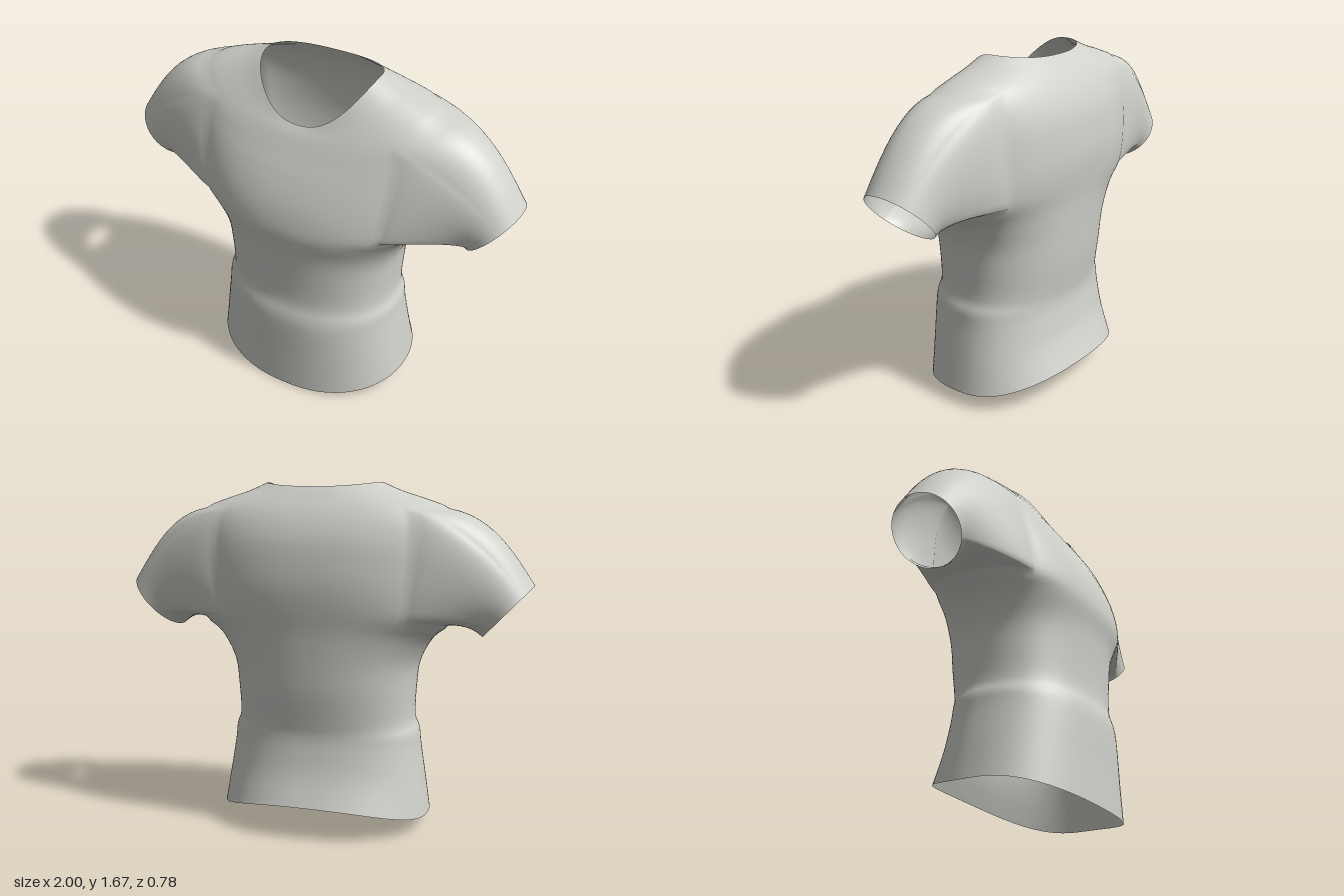
import * as THREE from 'three';

const COLS = 96; // columns around the torso, starting at the front centre
const SUB = 3; // rows between two profile levels
const HALF = 12; // half-width of each armhole, in columns
const HOLE = [8, 13]; // profile levels where the armholes start and end
const SLEEVE_STEPS = 12;

// torso levels, hem to neckline:
// y at front, side, back | half-width | z at front, side, back
const LEVELS = [
  [0.01, 0.08, 0.17, 0.52, 0.39, 0.0, -0.39],
  [0.2, 0.25, 0.3, 0.495, 0.385, 0.0, -0.335],
  [0.4, 0.41, 0.42, 0.47, 0.382, 0.0, -0.308],
  [0.48, 0.485, 0.49, 0.462, 0.372, 0.0, -0.3],
  [0.56, 0.55, 0.55, 0.44, 0.352, 0.0, -0.305],
  [0.72, 0.7, 0.7, 0.445, 0.355, 0.0, -0.325],
  [0.87, 0.83, 0.85, 0.463, 0.367, 0.0, -0.335],
  [0.97, 0.95, 0.99, 0.53, 0.388, -0.01, -0.345],
  [1.04, 1.02, 1.1, 0.61, 0.386, -0.03, -0.36],
  [1.12, 1.13, 1.21, 0.63, 0.37, -0.03, -0.37],
  [1.2, 1.25, 1.32, 0.64, 0.342, -0.03, -0.365],
  [1.28, 1.37, 1.42, 0.645, 0.305, -0.03, -0.35],
  [1.34, 1.48, 1.5, 0.64, 0.272, -0.04, -0.32],
  [1.39, 1.56, 1.56, 0.6, 0.245, -0.045, -0.285],
  [1.43, 1.605, 1.605, 0.49, 0.222, -0.045, -0.25],
  [1.455, 1.64, 1.64, 0.38, 0.203, -0.04, -0.22],
  [1.47, 1.68, 1.66, 0.285, 0.19, -0.04, -0.2],
];
const ROWS = (LEVELS.length - 1) * SUB;

// smooth interpolation between levels
function levelAt(row) {
  const i = Math.min(Math.floor(row / SUB), LEVELS.length - 2);
  const t = row / SUB - i;
  const at = (n) => LEVELS[THREE.MathUtils.clamp(n, 0, LEVELS.length - 1)];
  return LEVELS[i].map((b, k) => {
    const a = at(i - 1)[k], c = at(i + 1)[k], d = at(i + 2)[k];
    return b + 0.5 * t * (c - a + t * (2 * a - 5 * b + 4 * c - d + t * (3 * (b - c) + d - a)));
  });
}

// point on the torso; rings are slightly squared ellipses
function torsoPoint(row, col) {
  const [yF, yS, yB, width, zF, zS, zB] = levelAt(row);
  const angle = (col / COLS) * Math.PI * 2;
  const s = Math.sin(angle), c = Math.cos(angle);
  const bulge = (v) => Math.pow(Math.abs(v), 0.88);
  return new THREE.Vector3(
    Math.sign(s) * width * bulge(s),
    yS + ((c > 0 ? yF : yB) - yS) * c * c,
    zS + ((c > 0 ? zF : zB) - zS) * bulge(c)
  );
}

const hermite = (a, b, ta, tb, t) => {
  const t2 = t * t, t3 = t2 * t;
  return a * (2 * t3 - 3 * t2 + 1) + ta * (t3 - 2 * t2 + t) + b * (3 * t2 - 2 * t3) + tb * (t3 - t2);
};

export function createModel() {
  const fabric = new THREE.MeshStandardMaterial({ color: 0xd0d0cb, side: THREE.DoubleSide });
  fabric.name = 'light grey fabric';

  const points = [];
  const faces = { torso: [], leftSleeve: [], rightSleeve: [] };
  const quad = (list, a, b, c, d) => list.push(a, b, c, a, c, d);
  const id = (row, col) => row * COLS + ((col + COLS) % COLS);

  // torso grid with two armholes left open
  for (let r = 0; r <= ROWS; r++) {
    for (let c = 0; c < COLS; c++) points.push(torsoPoint(r, c));
  }
  const low = HOLE[0] * SUB, high = HOLE[1] * SUB;
  const sideCols = [COLS / 4, (COLS * 3) / 4];
  for (let r = 0; r < ROWS; r++) {
    for (let c = 0; c < COLS; c++) {
      const inHole = r >= low && r < high && sideCols.some((m) => c >= m - HALF && c < m + HALF);
      if (!inHole) quad(faces.torso, id(r, c), id(r, c + 1), id(r + 1, c + 1), id(r + 1, c));
    }
  }

  // sleeves grow from the armhole loops and narrow to round cuffs
  ['leftSleeve', 'rightSleeve'].forEach((name, n) => {
    const side = n === 0 ? 1 : -1;
    const from = sideCols[n] - HALF, to = sideCols[n] + HALF;
    const loop = [];
    for (let c = from; c < to; c++) loop.push(id(low, c));
    for (let r = low; r < high; r++) loop.push(id(r, to));
    for (let c = to; c > from; c--) loop.push(id(high, c));
    for (let r = high; r > low; r--) loop.push(id(r, from));

    let ring = loop;
    for (let s = 1; s <= SLEEVE_STEPS; s++) {
      const t = s / SLEEVE_STEPS;
      const next = loop.map((index) => {
        const p = points[index];
        const up = THREE.MathUtils.clamp((p.y - 1.02) / 0.54, 0, 1);
        const phi = Math.atan2((p.z + 0.03) / 0.17, (p.y - 1.29) / 0.27);
        const lerp = THREE.MathUtils.lerp;
        const x = hermite(Math.abs(p.x), 0.885 + 0.115 * Math.cos(phi), lerp(0.15, 0.6, up), lerp(0.12, 0.3, up), t);
        const y = hermite(p.y, 1.092 + 0.122 * Math.cos(phi), lerp(0.04, -0.1, up), lerp(-0.12, -0.45, up), t);
        const z = hermite(p.z, -0.033 + 0.168 * Math.sin(phi), 0, 0, t);
        return points.push(new THREE.Vector3(side * x, y, z)) - 1;
      });
      for (let m = 0; m < loop.length; m++) {
        const k = (m + 1) % loop.length;
        quad(faces[name], ring[m], ring[k], next[k], next[m]);
      }
      ring = next;
    }
  });

  // shared normals keep the armhole seams smooth
  const whole = new THREE.BufferGeometry().setFromPoints(points);
  whole.setIndex(Object.values(faces).flat());
  whole.computeVertexNormals();

  const shirt = new THREE.Group();
  shirt.name = 'shirt';
  for (const [name, index] of Object.entries(faces)) {
    const geometry = new THREE.BufferGeometry();
    geometry.setAttribute('position', whole.attributes.position);
    geometry.setAttribute('normal', whole.attributes.normal);
    geometry.setIndex(index);
    const mesh = new THREE.Mesh(geometry, fabric);
    mesh.name = name;
    shirt.add(mesh);
  }
  return shirt;
}
